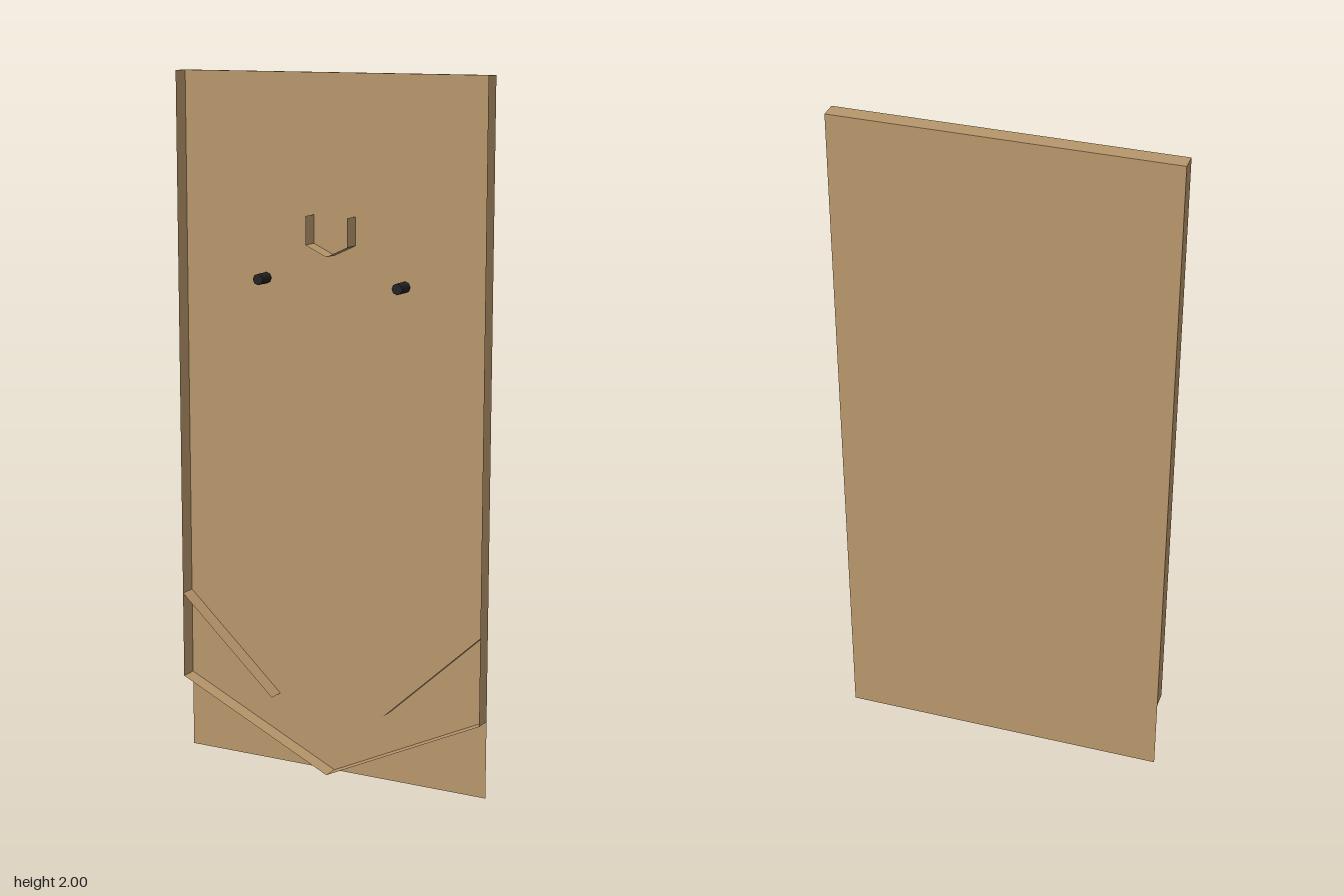
import * as THREE from 'three';

const W = 0.48, H = 2, D = 0.025; // half width, height, half depth

export function createModel() {
  const group = new THREE.Group();
  const wood = new THREE.MeshStandardMaterial({ color: 0xb8976c, side: THREE.DoubleSide });
  wood.name = 'wood';
  const black = new THREE.MeshStandardMaterial({ color: 0x222222 });
  black.name = 'black';

  function add(name, geometry, material) {
    const mesh = new THREE.Mesh(geometry, material);
    mesh.name = name;
    group.add(mesh);
    return mesh;
  }

  // Thin sheet wall standing forward from the board along a line of [x, y] points
  function wall(name, points) {
    const pos = [];
    for (let i = 0; i + 1 < points.length; i++) {
      const [ax, ay] = points[i], [bx, by] = points[i + 1];
      pos.push(ax, ay, -D, bx, by, -D, bx, by, D);
      pos.push(ax, ay, -D, bx, by, D, ax, ay, D);
    }
    const g = new THREE.BufferGeometry();
    g.setAttribute('position', new THREE.Float32BufferAttribute(pos, 3));
    g.computeVertexNormals();
    add(name, g, wood);
  }

  // Back board
  const board = new THREE.PlaneGeometry(2 * W, H);
  add('backBoard', board, wood).position.set(0, H / 2, -D);

  // Outer rim with a V-shaped drain at the bottom (wound so normals face outward)
  wall('rim', [[-W, H], [-W, 0.226], [0, 0], [W, 0.226], [W, H], [-W, H]]);

  // Small catch cup in the upper middle
  wall('cup', [[-0.065, 1.61], [-0.065, 1.53], [0, 1.5], [0.065, 1.53], [0.065, 1.61]]);

  // Mirrored sloping guides and round pegs
  for (const [side, s] of [['left', 1], ['right', -1]]) {
    const guide = [[s * W, 0.48], [s * 0.18, 0.205]];
    wall(side + 'Guide', s < 0 ? guide : guide.reverse());

    const peg = new THREE.CylinderGeometry(0.016, 0.016, 2 * D, 8);
    peg.rotateX(Math.PI / 2);
    add(side + 'Peg', peg, black).position.set(s * 0.218, 1.425, 0);
  }
  return group;
}
